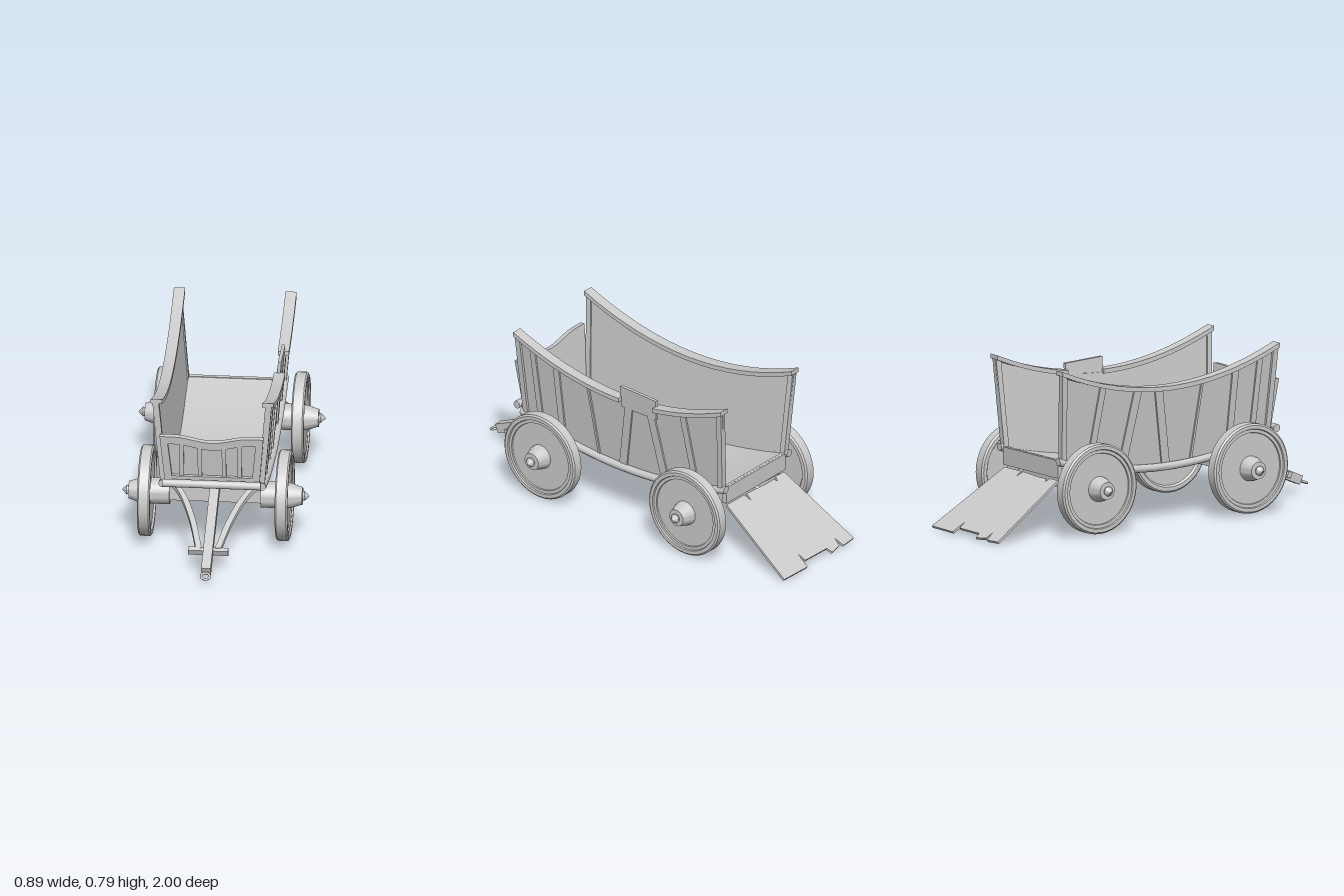
import * as THREE from 'three';
import { toCreasedNormals } from 'three/addons/utils/BufferGeometryUtils.js';

const grey = new THREE.MeshStandardMaterial({ color: 0xcccccc });

function add(parent, name, geo, pos = [0, 0, 0], rotX = 0) {
  const m = new THREE.Mesh(geo, grey);
  m.name = name;
  m.position.set(...pos);
  m.rotation.x = rotX;
  parent.add(m);
  return m;
}

// Closed solid through equal-sized rings of points, capped, always facing outwards
function loft(rings) {
  const n = rings[0].length, tris = [];
  for (let i = 0; i < rings.length - 1; i++) {
    for (let j = 0; j < n; j++) {
      const k = (j + 1) % n, a = rings[i][j], b = rings[i][k], c = rings[i + 1][k], d = rings[i + 1][j];
      tris.push([a, b, c], [a, c, d]);
    }
  }
  const last = rings[rings.length - 1];
  for (let j = 1; j < n - 1; j++) {
    tris.push([rings[0][0], rings[0][j + 1], rings[0][j]], [last[0], last[j], last[j + 1]]);
  }
  let volume = 0;
  for (const [a, b, c] of tris) {
    volume += new THREE.Vector3(...a).dot(new THREE.Vector3(...b).cross(new THREE.Vector3(...c)));
  }
  if (volume < 0) tris.forEach((t) => t.reverse());
  const geo = new THREE.BufferGeometry();
  geo.setAttribute('position', new THREE.Float32BufferAttribute(tris.flat(2), 3));
  return toCreasedNormals(geo, 0.7);
}

const span = (a, b, n) => Array.from({ length: n + 1 }, (_, i) => a + (b - a) * i / n);
const shapeOf = (pts) => new THREE.Shape(pts.map((p) => new THREE.Vector2(...p)));
const extrude = (shape, depth) => new THREE.ExtrudeGeometry(shape, { depth, bevelEnabled: false });

// Sagging floor line, sweeping top line and outward lean of the body
const floorY = (z) => 0.255 + 0.085 * (z / 0.6) ** 2;
const topY = (z) => 0.655 + 0.135 * (z / 0.63) ** 2;
const wallX = (y) => 0.22 + (y - 0.33) * 0.085;
const lean = (z, y) => z * (1 + 0.05 * (y - 0.33) / 0.46);

// Board on a side wall: ring between two heights, from offset o0 to o1 off the inner face
const wallRing = (s, z, y0, y1, o0, o1) => [[y0, o0], [y1, o0], [y1, o1], [y0, o1]]
  .map(([y, o]) => [s * (wallX(y) + o), y, lean(z, y)]);

// Upright strip on a side wall with its own slant
function strip(s, zb, zt, width, o0, o1) {
  const ring = (y, z) => [[o0, -1], [o1, -1], [o1, 1], [o0, 1]]
    .map(([o, e]) => [s * (wallX(y) + o), y, z + e * width / 2]);
  return loft([ring(floorY(zb), zb), ring(topY(zt) - 0.015, zt)]);
}

function buildSide(s) {
  const g = new THREE.Group();
  g.name = s > 0 ? 'leftSide' : 'rightSide';
  add(g, 'sidePanel', loft(span(-0.6, 0.6, 24).map((z) => wallRing(s, z, floorY(z), topY(z) - 0.015, 0, 0.012))));

  // Top rail, broken on the left where a plank sticks up
  const runs = s > 0 ? [[-0.63, -0.215], [-0.01, 0.63]] : [[-0.63, 0.63]];
  for (const [a, b] of runs) {
    add(g, 'topRail', loft(span(a, b, 16).map((z) => [[0.237, -0.022], [0.29, -0.022], [0.29, 0], [0.237, 0]]
      .map(([x, y]) => [s * x, topY(z) + y, z]))));
  }
  if (s > 0) {
    add(g, 'raisedPlank', loft([wallRing(s, -0.212, 0.6, 0.703, 0.004, 0.02), wallRing(s, -0.005, 0.6, 0.713, 0.004, 0.02)]));
  }

  // Rounded runner under the wall
  add(g, 'bottomRunner', loft(span(-0.62, 0.62, 20).map((z) => span(0, Math.PI * 2, 12).slice(0, 12)
    .map((a) => [s * (0.235 + 0.019 * Math.cos(a)), floorY(z) + 0.005 + 0.019 * Math.sin(a), z]))));

  // Corner posts and slanted battens
  add(g, 'frontPost', strip(s, 0.59, 0.615, 0.028, -0.006, 0.024));
  add(g, 'rearPost', strip(s, -0.59, -0.612, 0.028, -0.006, 0.024));
  const battens = [[0.5, 0.53, 0.03], [0.37, 0.39, 0.035], [0.15, 0.2, 0.012],
    [0.01, -0.055, 0.045], [-0.25, -0.175, 0.045], [-0.44, -0.38, 0.035]];
  for (const [zb, zt, w] of battens) add(g, 'batten', strip(s, zb, zt, w, 0.01, 0.02));
  return g;
}

// Wheel turned around the axle with its inner drum, outer hub and pointed cap
function wheelGeometry() {
  const profile = [[0, 0.215], [0.062, 0.215], [0.062, 0.305], [0.18, 0.305], [0.188, 0.295], [0.207, 0.295],
    [0.215, 0.302], [0.215, 0.348], [0.207, 0.355], [0.19, 0.355], [0.187, 0.348], [0.172, 0.348], [0.17, 0.342],
    [0.06, 0.342], [0.058, 0.36], [0.044, 0.4], [0.042, 0.41], [0.02, 0.41], [0.023, 0.42], [0, 0.443]];
  const lathe = new THREE.LatheGeometry(profile.map((p) => new THREE.Vector2(...p)), 40);
  return toCreasedNormals(lathe.rotateZ(-Math.PI / 2), 0.5);
}

function buildFrontBoard() {
  const g = new THREE.Group();
  g.name = 'frontBoard';
  g.position.set(0, 0.35, 0.597);
  g.rotation.x = 0.14;
  const dip = (x) => 0.252 + 0.014 * Math.cos(Math.PI * (Math.min(Math.abs(x) / 0.18, 1) - 1));
  const outline = [[-0.222, 0], [0.222, 0], ...span(0.245, -0.245, 16).map((x) => [x, dip(x)])];
  const opening = [[-0.19, 0.05], ...span(-0.207, 0.207, 14).map((x) => [x, dip(x) - 0.04]), [0.19, 0.05]];
  const frame = shapeOf(outline);
  frame.holes.push(new THREE.Path(opening.map((p) => new THREE.Vector2(...p))));
  add(g, 'boardFrame', extrude(frame, 0.016), [0, 0, 0.008]);
  add(g, 'boardPanel', extrude(shapeOf(outline), 0.01));
  for (const x of [-0.143, -0.057, 0.057, 0.13]) {
    add(g, 'boardBatten', new THREE.BoxGeometry(0.02, 0.18, 0.01), [x, 0.13, 0.014]);
  }
  return g;
}

function buildDrawbar() {
  const g = new THREE.Group();
  g.name = 'drawbar';
  const tilt = 0.41;
  add(g, 'drawPole', new THREE.BoxGeometry(0.045, 0.045, 0.578), [0, 0.17, 0.685], tilt);
  add(g, 'crossbar', new THREE.BoxGeometry(0.19, 0.03, 0.024), [0, 0.105, 0.83], tilt);
  add(g, 'hitchRing', new THREE.TorusGeometry(0.02, 0.006, 10, 24), [0, 0.042, 0.975], Math.PI / 2 + tilt);
  // Curved square braces spreading back to the axle
  const path = [[0.215, 0.29, 0.44], [0.15, 0.255, 0.53], [0.09, 0.19, 0.67], [0.045, 0.112, 0.83]];
  for (const s of [-1, 1]) {
    const curve = new THREE.CatmullRomCurve3(path.map(([x, y, z]) => new THREE.Vector3(s * x, y, z)));
    const pts = curve.getPoints(14);
    add(g, 'brace', loft(pts.map((p) => [[-1, -1], [1, -1], [1, 1], [-1, 1]]
      .map(([u, v]) => [p.x + 0.014 * u, p.y + 0.011 * v, p.z]))));
  }
  return g;
}

export function createModel() {
  const wagon = new THREE.Group();
  wagon.name = 'wagon';

  // Curved floor and walls
  add(wagon, 'floor', loft(span(-0.6, 0.605, 20).map((z) => [[-0.225, 0], [0.225, 0], [0.225, 0.018], [-0.225, 0.018]]
    .map(([x, y]) => [x, floorY(z) + y - 0.005, z]))));
  wagon.add(buildSide(1), buildSide(-1), buildFrontBoard(), buildDrawbar());

  // Front ledge with its roller, and rear sill
  add(wagon, 'frontLedge', new THREE.BoxGeometry(0.44, 0.014, 0.06), [0, 0.368, 0.63]);
  const roller = new THREE.CylinderGeometry(0.019, 0.019, 0.465, 16).rotateZ(Math.PI / 2);
  add(wagon, 'frontRoller', roller, [0, 0.37, 0.655]);
  add(wagon, 'rearSill', new THREE.BoxGeometry(0.44, 0.085, 0.022), [0, 0.31, -0.598]);

  // Lowered tailboard with splintered ends
  const tail = [[-0.213, 0], [-0.15, 0], [-0.14, 0.025], [-0.13, 0.006], [-0.08, 0.008], [0.065, 0], [0.073, 0.04],
    [0.082, 0], [0.213, 0], [0.26, 0.46], [0.09, 0.463], [0.08, 0.385], [0.072, 0.43], [-0.085, 0.432],
    [-0.095, 0.463], [-0.16, 0.45], [-0.168, 0.41], [-0.18, 0.46], [-0.262, 0.455]];
  add(wagon, 'tailboard', extrude(shapeOf(tail), 0.012), [0, 0.247, -0.599], -(Math.PI / 2 + 0.565));

  // Axles and wheels
  const wheel = wheelGeometry();
  for (const z of [0.42, -0.46]) {
    add(wagon, 'axle', new THREE.BoxGeometry(0.45, 0.072, 0.072), [0, 0.226, z]);
    add(wagon, 'leftWheel', wheel, [0, 0.22, z]);
    add(wagon, 'rightWheel', wheel, [0, 0.22, z]).rotation.y = Math.PI;
  }
  return wagon;
}
